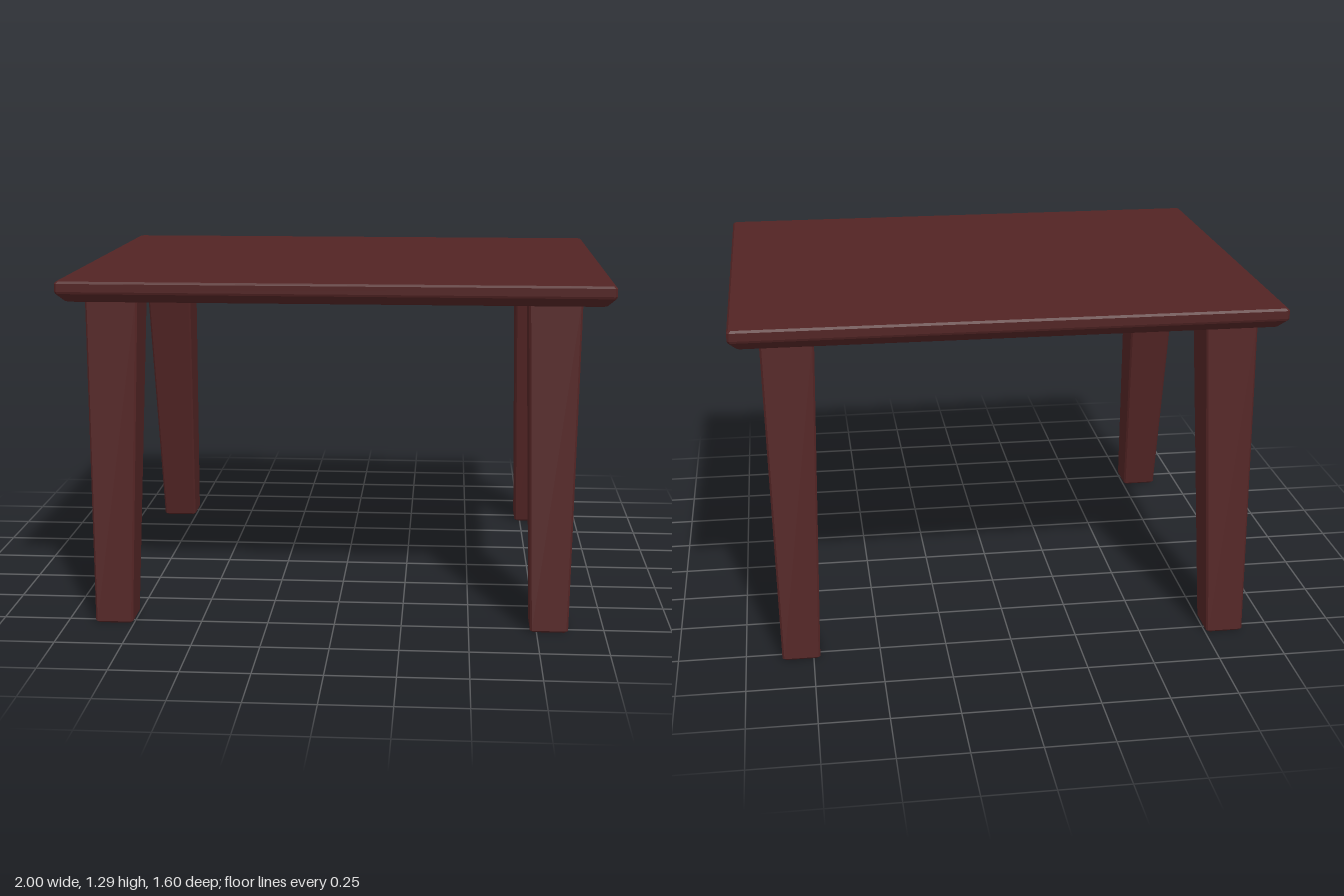
import * as THREE from 'three';

const wood = new THREE.MeshStandardMaterial({ color: 0x522424, flatShading: true });

// Outline of a rectangle with cut corners, counter-clockwise seen from above
function ring({ y, x0, x1, z0, z1, c }) {
  return [
    [x1, z1 - c], [x1, z0 + c], [x1 - c, z0], [x0 + c, z0],
    [x0, z0 + c], [x0, z1 - c], [x0 + c, z1], [x1 - c, z1],
  ].map(([x, z]) => [x, y, z]);
}

// Closed solid through a stack of sections, listed from bottom to top
function loft(name, sections) {
  const rings = sections.map(ring);
  const pos = [];
  const tri = (a, b, c) => pos.push(...a, ...b, ...c);
  for (let s = 0; s < rings.length - 1; s++) {
    const lo = rings[s], hi = rings[s + 1];
    for (let i = 0; i < 8; i++) {
      const j = (i + 1) % 8;
      tri(lo[i], lo[j], hi[j]);
      tri(lo[i], hi[j], hi[i]);
    }
  }
  const bottom = rings[0], top = rings[rings.length - 1];
  for (let i = 1; i < 7; i++) {
    tri(bottom[0], bottom[i + 1], bottom[i]);
    tri(top[0], top[i], top[i + 1]);
  }
  const geo = new THREE.BufferGeometry();
  geo.setAttribute('position', new THREE.Float32BufferAttribute(pos, 3));
  geo.computeVertexNormals();
  const mesh = new THREE.Mesh(geo, wood);
  mesh.name = name;
  return mesh;
}

// Tapered, splayed leg with softened edges: square sections centred on a leaning axis
function leg(name, x, zFoot, zTop) {
  const H = 1.203, b = 0.007;
  const section = (y, inset) => {
    const t = y / H;
    const z = THREE.MathUtils.lerp(zFoot, zTop, t);
    const h = THREE.MathUtils.lerp(0.07, 0.097, t) - inset;
    return { y, x0: x - h, x1: x + h, z0: z - h, z1: z + h, c: b };
  };
  return loft(name, [section(0, b), section(b, 0), section(H - 0.003, 0), section(H, 0.003)]);
}

export function createModel() {
  const table = new THREE.Group();
  table.name = 'table';

  // Top board: wide chamfer underneath, fine bevel on the upper edge
  const profile = [[1.21, 0.037], [1.213, 0.03], [1.242, 0.003], [1.25, 0], [1.279, 0], [1.287, 0.007]];
  table.add(loft('tableTop', profile.map(([y, d]) => ({
    y, x0: -1 + d, x1: 1 - d, z0: -0.793 + d, z1: 0.802 - d, c: 0.008,
  }))));

  // Four legs, leaning outward to the front and back
  for (const [side, x] of [['Right', -0.824], ['Left', 0.796]]) {
    table.add(leg('front' + side + 'Leg', x, 0.72, 0.571));
    table.add(leg('back' + side + 'Leg', x, -0.731, -0.58));
  }
  return table;
}
